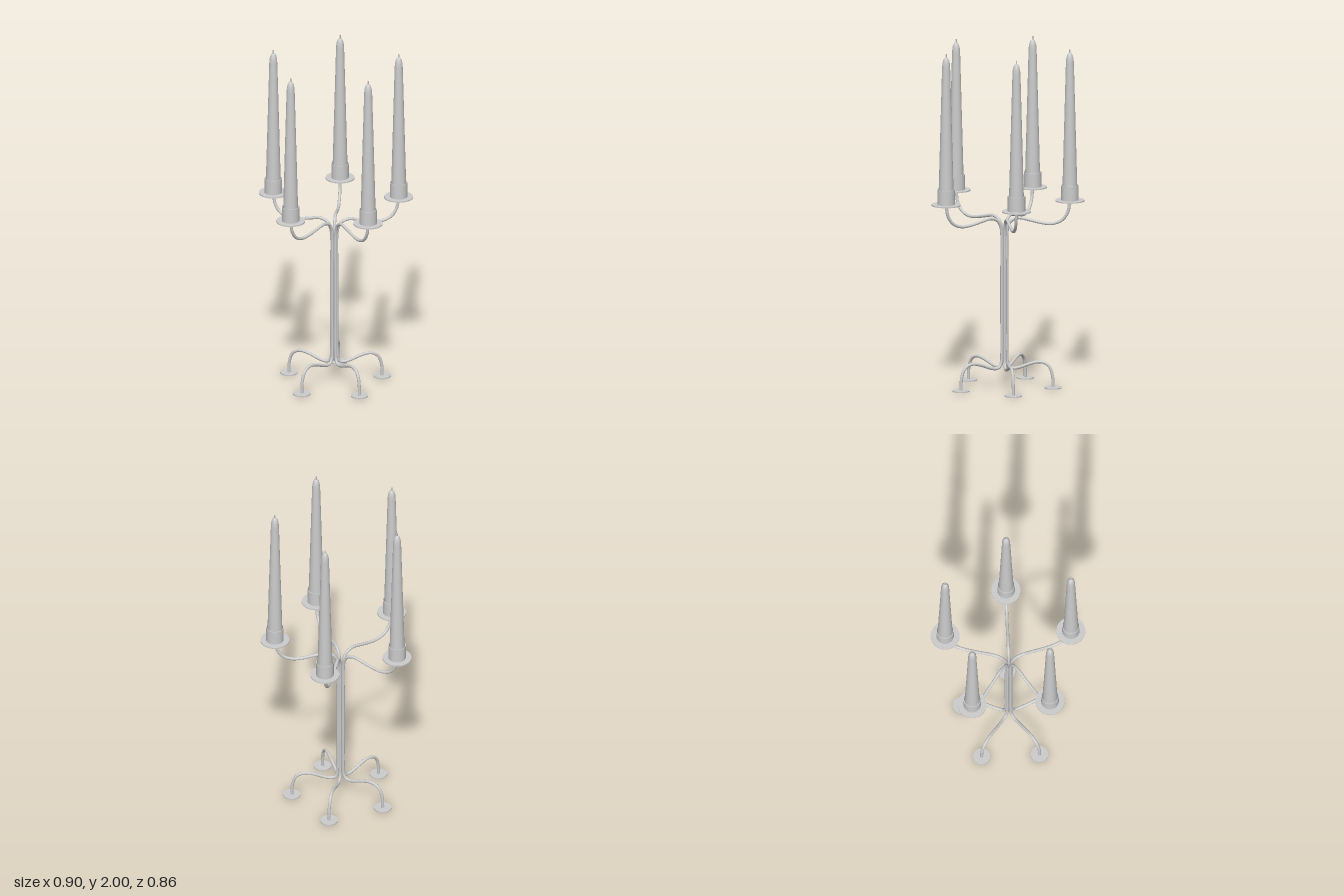
import * as THREE from 'three';

const material = new THREE.MeshStandardMaterial({ color: 0xcccccc });
const ROD = 0.009, RING = 0.016, ARM = 0.383, FOOT = 0.285;

function part(name, geometry, x = 0, y = 0) {
  const mesh = new THREE.Mesh(geometry, material);
  mesh.name = name;
  mesh.position.set(0, y, x);
  return mesh;
}

// Lathe with hard corners: each profile run [[r, y], ...] is turned on its own
function turned(name, runs, at, segments = 32) {
  const group = new THREE.Group();
  group.name = name;
  for (const run of runs) {
    const points = run.map(([r, y]) => new THREE.Vector2(r, y));
    group.add(part(name + 'Surface', new THREE.LatheGeometry(points, segments), at));
  }
  return group;
}

// One continuous bent rod: foot, leg, stem, arm (radius from axis, height)
function rodGeometry() {
  const profile = [
    [FOOT, 0.004], [0.281, 0.075], [0.264, 0.125], [0.235, 0.148], [0.2, 0.153],
    [0.15, 0.141], [0.1, 0.122], [0.06, 0.112], [0.034, 0.117], [0.02, 0.14],
    [RING, 0.2], [RING, 0.4], [RING, 0.7], [RING, 0.9],
    [0.022, 0.945], [0.042, 0.982], [0.085, 1.0], [0.145, 0.99],
    [0.22, 0.974], [0.28, 0.971], [0.335, 0.992], [0.37, 1.04], [ARM, 1.11],
  ];
  const curve = new THREE.CatmullRomCurve3(
    profile.map(([r, y]) => new THREE.Vector3(0, y, r)), false, 'centripetal');
  return new THREE.TubeGeometry(curve, 140, ROD, 12);
}

function createBranch(rod) {
  const branch = new THREE.Group();
  branch.name = 'branch';
  branch.add(part('bentRod', rod));
  branch.add(part('footDisc', new THREE.CylinderGeometry(0.05, 0.05, 0.007, 32), FOOT, 0.0035));
  branch.add(part('dripDish', new THREE.CylinderGeometry(0.084, 0.084, 0.007, 40), ARM, 1.11));

  // Hollow cup holding the candle
  branch.add(turned('candleCup', [
    [[0.051, 1.113], [0.051, 1.2]],
    [[0.051, 1.2], [0.047, 1.2]],
    [[0.047, 1.2], [0.047, 1.113]],
  ], ARM));

  // Tapered candle with a rounded tip
  branch.add(turned('candle', [[
    [0.043, 1.113], [0.043, 1.2], [0.0335, 1.55], [0.0235, 1.92], [0.0215, 1.945],
    [0.017, 1.965], [0.01, 1.977], [0, 1.981],
  ]], ARM, 24));
  branch.add(part('wick', new THREE.CylinderGeometry(0.004, 0.004, 0.03, 10), ARM, 1.985));
  return branch;
}

export function createModel() {
  const model = new THREE.Group();
  model.name = 'candelabra';
  const rod = rodGeometry();
  // Five identical branches around the stem axis
  for (let i = 0; i < 5; i++) {
    const branch = createBranch(rod);
    branch.rotation.y = (i * Math.PI * 2) / 5;
    branch.position.z = -0.037;
    model.add(branch);
  }
  return model;
}
